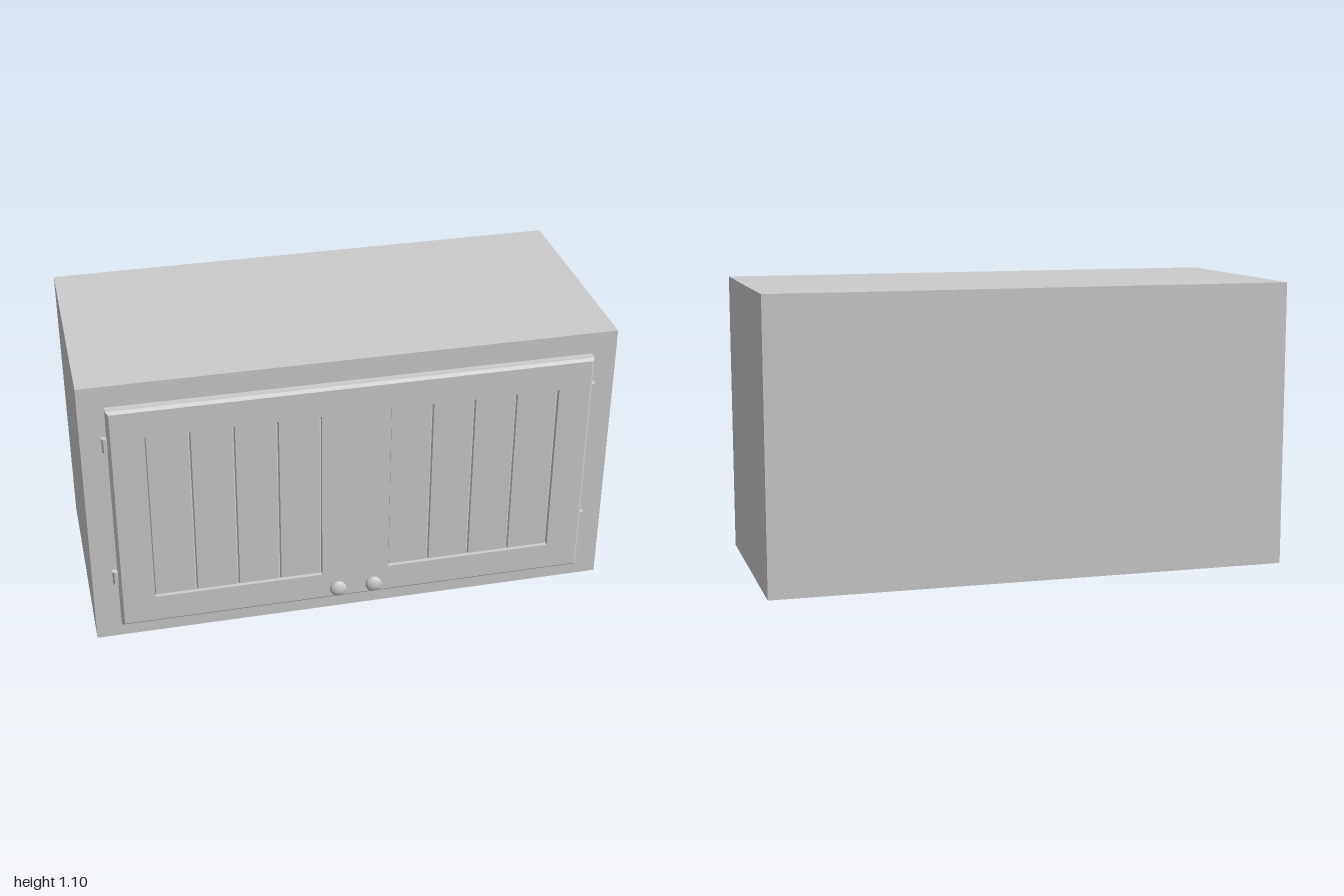
import * as THREE from 'three';

const W = 2, H = 1.095, BACK = -0.485, FACE = 0.415;
const DOOR = { x: 0.904, y0: 0.071, y1: 1.01, depth: 0.041, bevel: 0.01 };
const PANEL = { x0: 0.13, x1: 0.773, y0: 0.188, y1: 0.894, boards: 4 };

const flat = new THREE.MeshStandardMaterial({ color: 0xcccccc, flatShading: true });
const smooth = new THREE.MeshStandardMaterial({ color: 0xcccccc });

function add(parent, name, geometry, material, x = 0, y = 0, z = 0) {
  const mesh = new THREE.Mesh(geometry, material);
  mesh.name = name;
  mesh.position.set(x, y, z);
  parent.add(mesh);
  return mesh;
}

function rectangle(PathType, x0, y0, x1, y1) {
  return new PathType([[x0, y0], [x1, y0], [x1, y1], [x0, y1]].map(p => new THREE.Vector2(...p)));
}

// Door slab with two openings; only its outer front edge is chamfered
function doorFrameGeometry() {
  const { x, y0, y1, depth, bevel } = DOOR;
  const shape = rectangle(THREE.Shape, -x, y0, x, y1);
  for (const [a, b] of [[-PANEL.x1, -PANEL.x0], [PANEL.x0, PANEL.x1]]) {
    shape.holes.push(rectangle(THREE.Path, a, PANEL.y0, b, PANEL.y1));
  }
  const geometry = new THREE.ExtrudeGeometry(shape, { depth, steps: 2, bevelEnabled: false });
  const pos = geometry.attributes.position;
  for (let i = 0; i < pos.count; i++) {
    const px = pos.getX(i), py = pos.getY(i), pz = pos.getZ(i);
    if (pz > depth * 0.75) {
      if (Math.abs(px) > x - 0.001) {
        pos.setX(i, px - Math.sign(px) * bevel);
        pos.setY(i, py > 0.5 ? py - bevel : py + bevel);
      }
    } else if (pz > depth * 0.25) {
      pos.setZ(i, depth - bevel);
    }
  }
  geometry.computeVertexNormals();
  return geometry;
}

// Upright board with chamfered long edges, so neighbours meet in a V groove
function boardGeometry(width, height) {
  const w = width / 2, t = 0.026, c = 0.005;
  const section = new THREE.Shape([[-w, 0], [w, 0], [w, t - c], [w - c, t], [-w + c, t], [-w, t - c]]
    .map(p => new THREE.Vector2(...p)));
  const geometry = new THREE.ExtrudeGeometry(section, { depth: height, bevelEnabled: false });
  // Stand the section up: its thickness then points to +z
  geometry.rotateX(-Math.PI / 2);
  geometry.rotateY(Math.PI);
  return geometry;
}

export function createModel() {
  const model = new THREE.Group();
  model.name = 'wallCabinet';

  add(model, 'cabinetBody', new THREE.BoxGeometry(W, H, FACE - BACK), flat, 0, H / 2, (FACE + BACK) / 2);
  add(model, 'doorFrame', doorFrameGeometry(), flat, 0, 0, FACE);

  const boardWidth = (PANEL.x1 - PANEL.x0) / PANEL.boards;
  const board = boardGeometry(boardWidth, PANEL.y1 - PANEL.y0);
  const knob = new THREE.SphereGeometry(1, 24, 16).scale(0.032, 0.032, 0.018);
  const leaf = new THREE.BoxGeometry(0.014, 0.057, 0.012);
  const barrel = new THREE.CylinderGeometry(0.0115, 0.0115, 0.057, 6).rotateY(Math.PI / 2);

  for (const side of [-1, 1]) {
    const prefix = side > 0 ? 'left' : 'right';

    // Recessed planked panel
    const panel = new THREE.Group();
    panel.name = prefix + 'Panel';
    model.add(panel);
    for (let i = 0; i < PANEL.boards; i++) {
      add(panel, 'board', board, flat, side * (PANEL.x0 + (i + 0.5) * boardWidth), PANEL.y0, FACE);
    }

    add(model, prefix + 'Knob', knob, smooth, side * 0.07, 0.121, 0.467);

    // Two hinges on the outer edge
    for (const y of [0.28, 0.862]) {
      const hinge = new THREE.Group();
      hinge.name = prefix + 'Hinge';
      hinge.position.set(side * 0.912, y, FACE);
      model.add(hinge);
      add(hinge, 'hingeLeaf', leaf, flat, side * 0.006, 0, 0.006);
      add(hinge, 'hingeBarrel', barrel, flat, 0, 0, 0.0115);
    }
  }
  return model;
}
